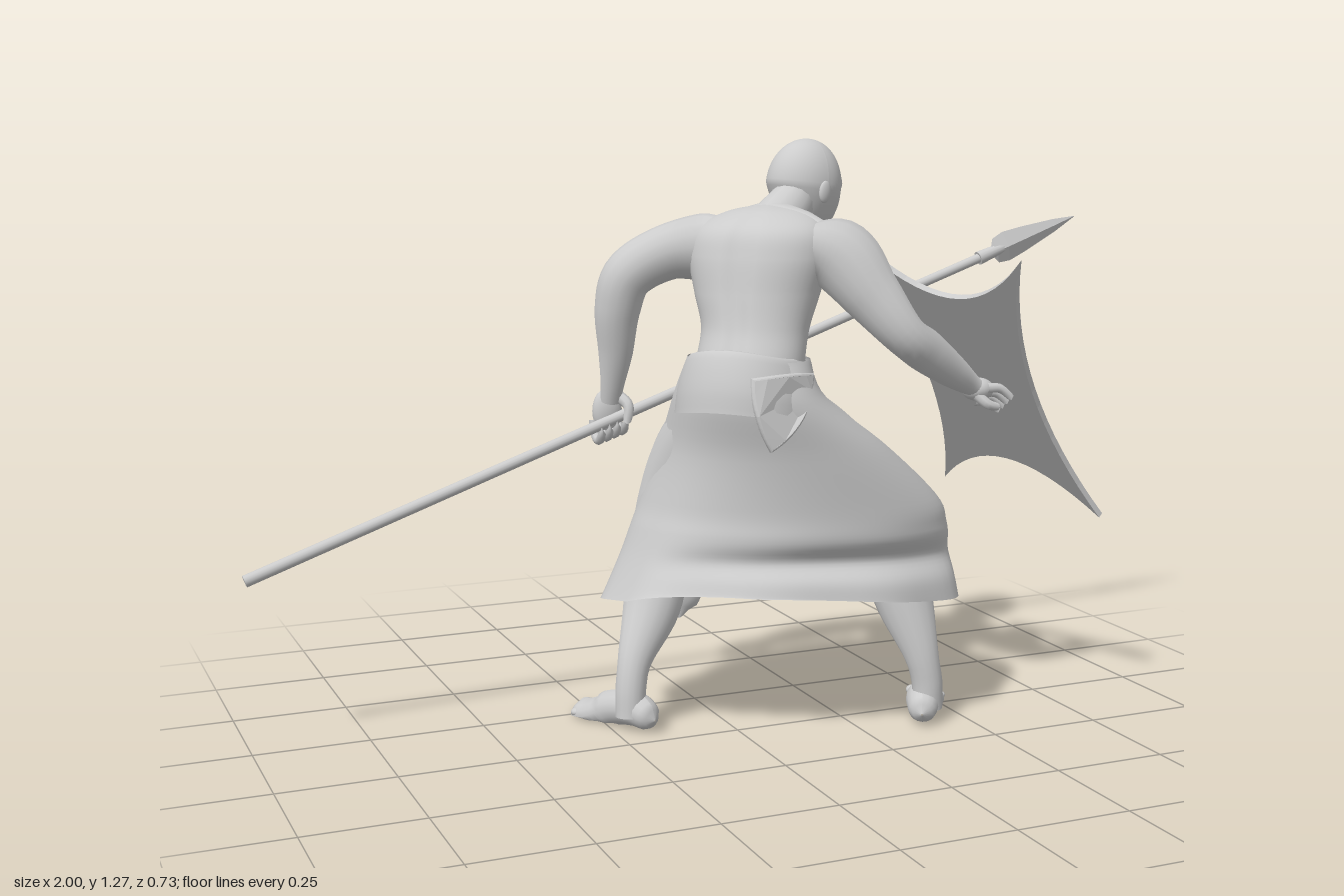
import * as THREE from 'three';
import { ParametricGeometry } from 'three/addons/geometries/ParametricGeometry.js';

const V = (a) => new THREE.Vector3(a[0], a[1], a[2]);
const bump = (a, b, s) => Math.exp(-(((a - b) / s) ** 2));

// Smooth interpolation through rows of numbers, t in 0..1
function sample(rows, t) {
  const f = Math.min(Math.max(t, 0), 1) * (rows.length - 1);
  const i = Math.min(Math.floor(f), rows.length - 2), k = f - i;
  const at = (n) => rows[Math.min(Math.max(n, 0), rows.length - 1)];
  const [a, b, c, d] = [at(i - 1), at(i), at(i + 1), at(i + 2)];
  return b.map((_, j) => b[j] + 0.5 * k * (c[j] - a[j] + k * (2 * a[j] - 5 * b[j] + 4 * c[j] - d[j]
    + k * (3 * (b[j] - c[j]) + d[j] - a[j]))));
}

export function createModel() {
  const model = new THREE.Group();
  const mat = new THREE.MeshStandardMaterial({ color: 0xcccccc });
  const cloth = new THREE.MeshStandardMaterial({ color: 0xcccccc, side: THREE.DoubleSide });

  function add(name, geo, parent = model, material = mat) {
    const m = new THREE.Mesh(geo, material);
    m.name = name;
    parent.add(m);
    return m;
  }

  // Tapered tube through rows of [x, y, z, radius]; rule may adjust each vertex offset
  function limb(name, rows, { segs = 28, sides = 16, rule, material } = {}) {
    const curve = new THREE.CatmullRomCurve3(rows.map(V));
    const geo = new THREE.TubeGeometry(curve, segs, 1, sides);
    const pos = geo.attributes.position, p = new THREE.Vector3();
    for (let i = 0; i <= segs; i++) {
      const c = curve.getPointAt(i / segs);
      const r = Math.max(sample(rows, curve.getUtoTmapping(i / segs))[3], 0.001);
      for (let j = 0; j <= sides; j++) {
        const n = i * (sides + 1) + j;
        p.fromBufferAttribute(pos, n).sub(c).multiplyScalar(r);
        if (rule) rule(p, c);
        p.add(c);
        pos.setXYZ(n, p.x, p.y, p.z);
      }
    }
    if (rule) geo.computeVertexNormals();
    return add(name, geo, model, material);
  }

  function ball(name, c, r, s = [1, 1, 1], parent) {
    const m = add(name, new THREE.SphereGeometry(r, 20, 14), parent);
    m.position.set(...c);
    m.scale.set(...s);
    return m;
  }

  // Torso: ellipses across the shoulder line, [y, cx, cz, halfWidth, halfDepth]
  const trunk = [[0.74, 0.02, 0.01, 0.12, 0.1], [0.81, 0.025, 0.01, 0.118, 0.1], [0.88, 0.045, -0.01, 0.118, 0.1],
    [0.95, 0.06, -0.035, 0.138, 0.112], [1.03, 0.072, -0.05, 0.158, 0.115], [1.085, 0.08, -0.055, 0.145, 0.1],
    [1.12, 0.1, -0.065, 0.09, 0.066], [1.135, 0.105, -0.07, 0.01, 0.01]];
  add('torso', new ParametricGeometry((u, v, out) => {
    const a = u * Math.PI * 2, [y, cx, cz, w, d] = sample(trunk, v);
    const s = Math.sin(a), c = Math.cos(a);
    const spine = s < 0 ? 1 - 0.09 * bump(c, 0, 0.18) : 1;
    const chest = s > 0 ? 1 + 0.1 * bump(y, 0.99, 0.045) * (bump(c, 0.45, 0.3) + bump(c, -0.45, 0.3)) : 1;
    const k = d * s * spine * chest;
    out.set(cx + w * c * 0.66 + k * 0.75, y, cz + w * c * 0.75 - k * 0.66);
  }, 48, 44));
  limb('shoulderSlope', [[0.19, 1.065, 0.05, 0.03], [0.145, 1.08, -0.01, 0.047], [0.11, 1.085, -0.075, 0.054], [0.06, 1.075, -0.125, 0.045], [0.01, 1.06, -0.16, 0.03]]);
  limb('neck', [[0.08, 1.05, -0.06, 0.06], [0.13, 1.095, -0.085, 0.057], [0.18, 1.135, -0.118, 0.05], [0.22, 1.19, -0.145, 0.045]]);

  // Head: sphere shaped by jaw, nose, brow, eyes, lips and chin rules
  const head = new THREE.Group();
  head.name = 'head';
  head.position.set(0.225, 1.169, -0.148);
  head.rotation.set(0.12, 1.85, 0, 'YXZ');
  model.add(head);
  const skull = new THREE.SphereGeometry(1, 56, 48), sp = skull.attributes.position;
  for (let i = 0; i < sp.count; i++) {
    const t = Math.max(0, -sp.getY(i));
    const x = sp.getX(i) * 0.077 * (1 - 0.18 * t), y = sp.getY(i) * (0.102 + 0.01 * t);
    let z = sp.getZ(i);
    z *= z < 0 ? 0.092 * (1 - 0.45 * t) : 0.082 * (1 + 0.2 * t);
    if (z > 0) {
      const ax = Math.abs(x);
      z += 0.019 * bump(x, 0, 0.012) * bump(y, -0.03, 0.022) + 0.006 * bump(y, 0.012, 0.01) * bump(ax, 0.026, 0.022)
        - 0.012 * bump(ax, 0.029, 0.014) * bump(y, -0.007, 0.011) + 0.007 * bump(x, 0, 0.02) * bump(y, -0.062, 0.009)
        + 0.012 * bump(x, 0, 0.028) * bump(y, -0.092, 0.015);
    }
    sp.setXYZ(i, x, y, z);
  }
  skull.computeVertexNormals();
  add('skull', skull, head);
  for (const s of [-1, 1]) ball('ear', [s * 0.076, -0.012, -0.008], 0.022, [0.35, 1.1, 0.7], head);

  // Arms
  limb('leftArm', [[0.13, 1.065, 0.01, 0.03], [0.2, 1.035, 0.067, 0.077], [0.26, 0.95, 0.11, 0.063], [0.325, 0.865, 0.14, 0.046],
    [0.38, 0.828, 0.13, 0.046], [0.46, 0.777, 0.105, 0.036], [0.515, 0.744, 0.085, 0.025], [0.54, 0.73, 0.08, 0.02]], { segs: 40 });
  limb('rightArm', [[0.06, 1.065, -0.08, 0.03], [0, 1.045, -0.14, 0.07], [-0.09, 1.03, -0.178, 0.06], [-0.17, 0.98, -0.203, 0.055],
    [-0.188, 0.91, -0.22, 0.05], [-0.185, 0.81, -0.245, 0.038], [-0.185, 0.735, -0.268, 0.026], [-0.185, 0.7, -0.28, 0.024]], { segs: 44 });

  // Left hand spread against the inside of the shield
  ball('leftPalm', [0.54, 0.73, 0.076], 0.034, [1.1, 0.75, 0.9]);
  for (let i = 0; i < 4; i++) {
    const z = 0.1 - i * 0.018, y = 0.745 - i * 0.012;
    limb('leftFinger', [[0.55, y - 0.01, z, 0.011], [0.58, y - 0.012, z + 0.003, 0.01], [0.605, y - 0.032, z + 0.008, 0.008],
      [0.607, y - 0.038, z + 0.008, 0]], { segs: 10, sides: 8 });
  }
  limb('leftThumb', [[0.53, 0.72, 0.09, 0.013], [0.55, 0.7, 0.105, 0.011], [0.575, 0.693, 0.105, 0.008], [0.58, 0.693, 0.105, 0]], { segs: 10, sides: 8 });

  // Spear along its own y axis
  const spear = new THREE.Group();
  spear.name = 'spear';
  spear.position.set(-0.997, 0.37, -0.268);
  spear.rotation.z = Math.atan2(0.71, 2) - Math.PI / 2;
  model.add(spear);
  add('shaft', new THREE.CylinderGeometry(0.011, 0.013, 1.9, 14), spear).position.y = 0.95;
  add('socket', new THREE.CylinderGeometry(0.009, 0.016, 0.14, 14), spear).position.y = 1.91;
  const blade = add('blade', new THREE.LatheGeometry([[0.001, 1.875], [0.03, 1.89], [0.036, 1.92], [0.03, 1.97],
    [0.015, 2.06], [0.0005, 2.121]].map((p) => new THREE.Vector2(...p)), 4).toNonIndexed(), spear);
  blade.geometry.computeVertexNormals();
  blade.scale.z = 0.38;

  // Right hand: palm behind the shaft, fingers curled under it, thumb in front
  ball('rightPalm', [-0.19, 0.675, -0.29], 0.036, [0.95, 1.4, 0.6]);
  for (let i = 0; i < 4; i++) {
    const x = -0.218 + i * 0.018, y = 0.655 + i * 0.006;
    limb('rightFinger', [[x, y, -0.298, 0.012], [x, y - 0.03, -0.292, 0.011], [x, y - 0.042, -0.268, 0.01],
      [x, y - 0.025, -0.246, 0.009], [x, y - 0.01, -0.246, 0]], { segs: 14, sides: 8 });
  }
  limb('rightThumb', [[-0.17, 0.71, -0.275, 0.014], [-0.155, 0.69, -0.248, 0.012], [-0.16, 0.655, -0.244, 0.009], [-0.162, 0.648, -0.244, 0]], { segs: 10, sides: 8 });

  // Shield: flat four-pointed plate with hollow sides
  const corners = [[0.28, 1.06, -0.025], [0.46, 1.03, 0.365], [0.85, 0.425, 0.105], [0.665, 0.467, -0.275]].map(V);
  const mid = corners.reduce((s, c) => s.add(c), new THREE.Vector3()).multiplyScalar(0.25);
  const e1 = corners[1].clone().sub(corners[0]).normalize();
  const n = e1.clone().cross(corners[3].clone().sub(corners[0])).normalize();
  const e2 = n.clone().cross(e1);
  const flat = corners.map((c) => c.clone().sub(mid)).map((c) => new THREE.Vector2(c.dot(e1), c.dot(e2)));
  const plate = new THREE.Shape().moveTo(flat[0].x, flat[0].y);
  for (let i = 0; i < 4; i++) {
    const b = flat[(i + 1) % 4], m = flat[i].clone().add(b).multiplyScalar(0.5 * 0.31);
    plate.quadraticCurveTo(m.x, m.y, b.x, b.y);
  }
  const shieldGeo = new THREE.ExtrudeGeometry(plate, { depth: 0.014, bevelEnabled: false, curveSegments: 16 });
  shieldGeo.applyMatrix4(new THREE.Matrix4().makeBasis(e1, e2, n).setPosition(mid.addScaledVector(n, -0.005)));
  add('shield', shieldGeo);

  // Legs and feet
  limb('leftLeg', [[0.08, 0.7, 0.03, 0.09], [0.21, 0.59, 0.03, 0.095], [0.325, 0.47, 0.025, 0.075], [0.345, 0.37, 0.05, 0.068],
    [0.367, 0.27, 0.075, 0.063], [0.398, 0.15, 0.1, 0.038], [0.41, 0.09, 0.105, 0.034], [0.412, 0.03, 0.105, 0.033]], { segs: 40 });
  limb('rightLeg', [[-0.01, 0.7, -0.04, 0.09], [-0.05, 0.59, -0.13, 0.09], [-0.085, 0.47, -0.185, 0.073], [-0.115, 0.36, -0.165, 0.068],
    [-0.147, 0.26, -0.135, 0.064], [-0.197, 0.15, -0.11, 0.038], [-0.21, 0.09, -0.1, 0.034], [-0.213, 0.03, -0.095, 0.033]], { segs: 40 });
  function foot(name, heel, toe, side) {
    const h = new THREE.Vector2(...heel), d = new THREE.Vector2(...toe).sub(h);
    const row = (t, y, r) => [h.x + d.x * t, y, h.y + d.y * t, r];
    const sole = (p, c) => { p.y = Math.max(p.y * (c.y < 0.025 ? 0.75 : 1), 0.004 - c.y); };
    limb(name, [row(0, 0.03, 0.002), row(0.05, 0.032, 0.027), row(0.22, 0.045, 0.038), row(0.45, 0.036, 0.039), row(0.72, 0.008, 0.043),
      row(0.86, 0.004, 0.037), row(0.94, 0.006, 0.002)], { rule: sole });
    const across = new THREE.Vector2(-d.y, d.x).normalize().multiplyScalar(side);
    for (let i = 0; i < 5; i++) {
      const k = 0.03 - i * 0.015, t = 0.93 - i * 0.03;
      ball(name + 'Toe', [h.x + d.x * t + across.x * k, 0.012, h.y + d.y * t + across.y * k], i ? 0.012 : 0.015, [1.15, 0.8, 1.15]);
    }
  }
  foot('leftFoot', [0.375, 0.148], [0.51, -0.075], -1);
  foot('rightFoot', [-0.175, -0.045], [-0.285, -0.285], 1);

  // Skirt: skewed loops [y, cx, cz, rx, rz], tucked under at the back above an uneven hem
  const loops = [[0.275, 0.132, -0.06, 0.383, 0.243], [0.33, 0.14, -0.064, 0.366, 0.24], [0.385, 0.148, -0.066, 0.35, 0.238],
    [0.44, 0.152, -0.066, 0.333, 0.237], [0.5, 0.15, -0.063, 0.308, 0.234], [0.62, 0.1, -0.04, 0.225, 0.21],
    [0.74, 0.025, 0.005, 0.14, 0.158], [0.82, 0.02, 0.012, 0.115, 0.12]];
  add('skirt', new ParametricGeometry((u, v, out) => {
    const a = u * Math.PI * 2, [y, cx, cz, rx, rz] = sample(loops, v);
    const low = (1 - v) ** 3, s = Math.sin(a - 0.3);
    const tuck = 0.03 * Math.max(0, -s) * bump(y, 0.375, 0.035);
    const wave = 1 + 0.012 * low * Math.sin(a * 9);
    const x = cx + rx * Math.cos(a) * wave;
    const z = cz - rz * Math.sign(s) * Math.abs(s) ** 0.92 * wave - tuck;
    const q = z + 0.06;
    const lift = (q < 0 ? 0.17 * q : q * (0.25 - 0.5 * x)) + 0.1 * Math.max(0, -x);
    out.set(x, y + lift * low, z);
  }, 64, 40), model, cloth);

  // Wrapped belt with a pointed flap on one side and a long sash on the other
  const wrap = [[0.71, 0.15, 0.16], [0.76, 0.144, 0.155], [0.81, 0.13, 0.138], [0.835, 0.116, 0.122], [0.83, 0.1, 0.1]];
  add('belt', new ParametricGeometry((u, v, out) => {
    const a = u * Math.PI * 2, [y, rx, rz] = sample(wrap, v);
    out.set(0.015 + rx * Math.cos(a), y + 0.012 * Math.sin(a * 2), 0.01 - rz * Math.sin(a));
  }, 40, 12), model, cloth);
  const flap = new THREE.Shape().moveTo(-0.03, 0.79).quadraticCurveTo(0.05, 0.8, 0.115, 0.79);
  flap.quadraticCurveTo(0.09, 0.7, 0, 0.65).quadraticCurveTo(-0.04, 0.72, -0.03, 0.79);
  const flapGeo = new THREE.ExtrudeGeometry(flap, { depth: 0.006, bevelSize: 0.005, bevelThickness: 0.005, bevelSegments: 3 });
  const fp = flapGeo.attributes.position;
  for (let i = 0; i < fp.count; i++) {
    fp.setZ(i, fp.getZ(i) + 0.172 - 3.5 * (fp.getX(i) - 0.015) ** 2 - 0.25 * Math.max(0, fp.getY(i) - 0.72));
  }
  flapGeo.computeVertexNormals();
  add('beltFlap', flapGeo, model, cloth);
  const thin = (p) => { p.z *= 0.4; };
  limb('sash', [[0.06, 0.8, -0.11, 0.02], [0.06, 0.755, -0.165, 0.034], [0.055, 0.66, -0.232, 0.038], [0.045, 0.53, -0.29, 0.042],
    [0.03, 0.4, -0.325, 0.05], [0.008, 0.28, -0.335, 0.06], [-0.015, 0.21, -0.313, 0.048], [-0.015, 0.18, -0.3, 0.001]], { segs: 40, rule: thin, material: cloth });
  ball('sashKnot', [0.065, 0.78, -0.135], 0.035, [1, 0.8, 0.7]);

  return model;
}
